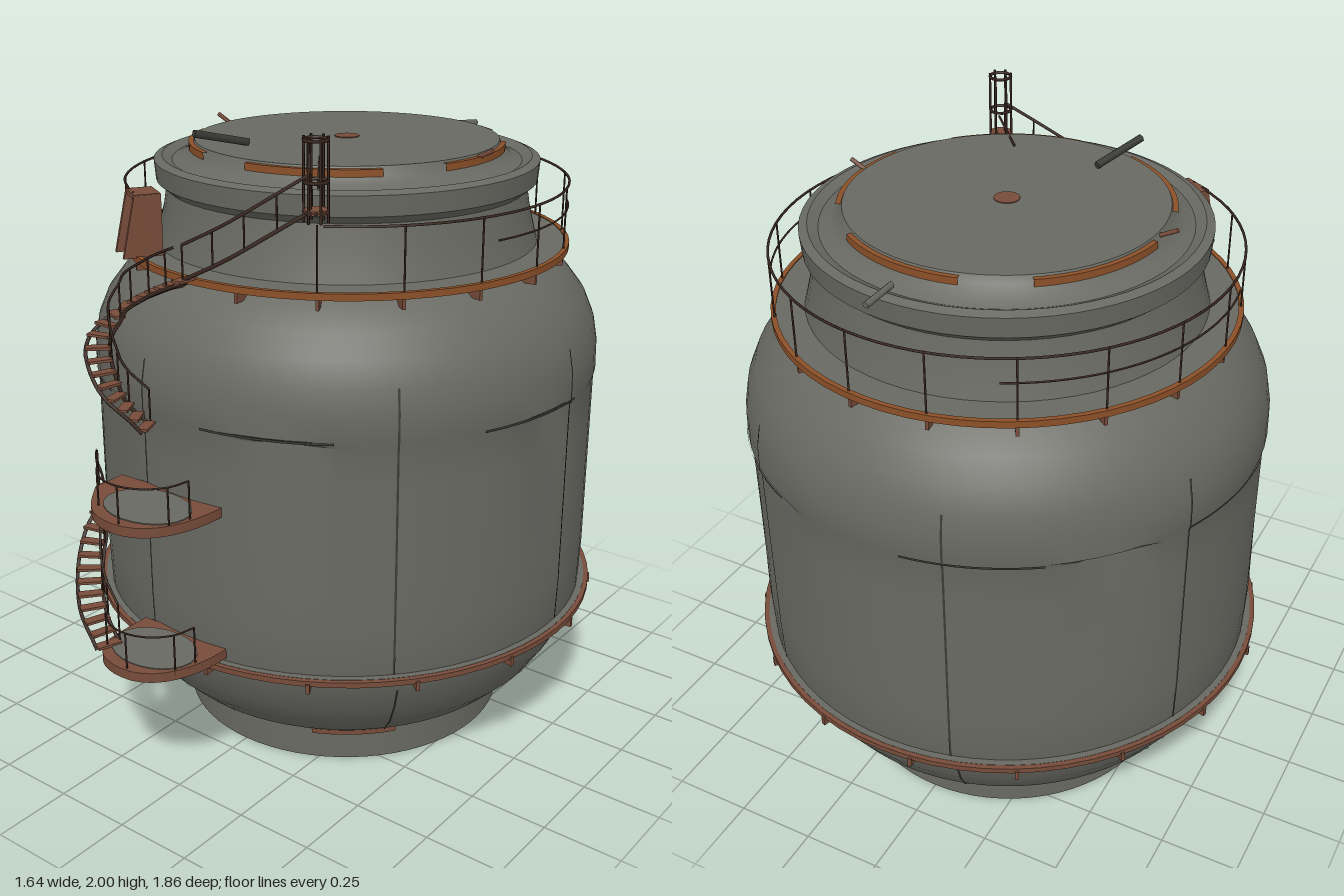
import * as THREE from 'three';
import { toCreasedNormals } from 'three/addons/utils/BufferGeometryUtils.js';

const mat = (name, color, side = THREE.FrontSide) => {
  const m = new THREE.MeshStandardMaterial({ color, side });
  m.name = name;
  return m;
};
const steel = mat('weathered steel', 0x686962);
const rust = mat('rust', 0x774c3a);
const brightRust = mat('bright rust', 0x8c5028);
const iron = mat('dark iron', 0x39271f);
const seamDark = mat('seam shadow', 0x3a3b36, THREE.DoubleSide);
const V = (x, y, z) => new THREE.Vector3(x, y, z);
const polar = (a, r, y) => V(Math.sin(a) * r, y, Math.cos(a) * r);

function add(parent, name, geo, material, pos) {
  const m = new THREE.Mesh(geo, material);
  m.name = name;
  if (pos) m.position.copy(pos);
  parent.add(m);
  return m;
}
function lathe(pts, segs = 64, start = 0, len = Math.PI * 2) {
  return new THREE.LatheGeometry(pts.map(p => new THREE.Vector2(p[0], p[1])), segs, start, len);
}
// Closed rectangular ring
const band = (r0, r1, y0, y1, start = 0, len = Math.PI * 2, segs = 64) =>
  toCreasedNormals(lathe([[r0, y0], [r1, y0], [r1, y1], [r0, y1], [r0, y0]], segs, start, len), 0.5);
// Round bar between two points
function bar(parent, name, a, b, r, material = iron) {
  const d = b.clone().sub(a);
  const m = add(parent, name, new THREE.CylinderGeometry(r, r, d.length(), 5), material,
    a.clone().add(b).multiplyScalar(0.5));
  m.quaternion.setFromUnitVectors(V(0, 1, 0), d.normalize());
  return m;
}
const tube = (pts, r, n = 40) => new THREE.TubeGeometry(new THREE.CatmullRomCurve3(pts), n, r, 5);

// Curved flight of steps with stringers and a handrail
function stair(parent, name, pts, steps, width, railSide, railHeight) {
  const g = new THREE.Group();
  g.name = name;
  const curve = new THREE.CatmullRomCurve3(pts);
  const sides = { '-1': [], '1': [] };
  const rail = [];
  for (let i = 0; i <= steps; i++) {
    const p = curve.getPointAt(i / steps), t = curve.getTangentAt(i / steps);
    const yaw = Math.atan2(t.x, t.z), across = V(Math.cos(yaw), 0, -Math.sin(yaw));
    const tread = add(g, 'tread', new THREE.BoxGeometry(width, 0.008, 0.032), rust, p);
    tread.rotation.y = yaw;
    for (const s of [-1, 1]) sides[s].push(p.clone().addScaledVector(across, s * width / 2).add(V(0, -0.01, 0)));
    const foot = p.clone().addScaledVector(across, railSide * width / 2), top = foot.clone().add(V(0, railHeight, 0));
    rail.push(top);
    if (i % 2 === 0) bar(g, 'railPost', foot, top, 0.003);
  }
  for (const s of [-1, 1]) add(g, 'stringer', tube(sides[s], 0.006), iron);
  add(g, 'handrail', tube(rail, 0.004), iron);
  parent.add(g);
}

// Rounded landing with a steel floor, rusty rim and railing
function landing(parent, y, x0) {
  const g = new THREE.Group();
  g.name = 'landing';
  const s = new THREE.Shape();
  s.moveTo(x0, -0.68);
  s.lineTo(0.14, -0.66);
  s.bezierCurveTo(0.15, -0.8, 0.1, -0.94, -0.03, -0.94);
  s.bezierCurveTo(-0.14, -0.94, -0.18, -0.88, x0, -0.79);
  s.closePath();
  const slab = add(g, 'landingSlab', new THREE.ExtrudeGeometry(s, { depth: 0.03, bevelEnabled: false, curveSegments: 10 }), rust, V(0, y - 0.015, 0));
  slab.rotation.x = -Math.PI / 2;
  const floor = add(g, 'landingFloor', new THREE.CylinderGeometry(0.13, 0.13, 0.004, 24), steel, V(-0.03, y + 0.016, 0.8));
  floor.scale.set(1.1, 1, 0.8);
  const rail = [];
  for (let i = 0; i <= 5; i++) {
    const a = -0.9 + i * 0.5, foot = V(-0.03 + Math.sin(a) * 0.15, y, 0.79 + Math.cos(a) * 0.14);
    rail.push(foot.clone().add(V(0, 0.13, 0)));
    if (i % 2 === 0 || i === 5) bar(g, 'railPost', foot, rail[i], 0.003);
  }
  add(g, 'landingRail', tube(rail, 0.003), iron);
  parent.add(g);
}

export function createModel() {
  const model = new THREE.Group();
  model.name = 'storageTank';
  const tank = new THREE.Group();
  tank.name = 'tank';
  tank.position.z = -0.1;
  model.add(tank);

  // Shell with dented wall panels
  const shell = lathe([[0, 0], [0.53, 0], [0.53, 0.1], [0.61, 0.155], [0.68, 0.225], [0.735, 0.31], [0.77, 0.39], [0.785, 0.45],
    [0.79, 0.6], [0.79, 0.75], [0.79, 0.9], [0.79, 1.05], [0.79, 1.17], [0.795, 1.19], [0.793, 1.27], [0.78, 1.34], [0.75, 1.41],
    [0.7, 1.475], [0.65, 1.525], [0.59, 1.56]], 72);
  const dents = [[-0.5, 0.22], [0.42, 0.2], [1.5, 0.14], [2.5, 0.3], [-1.15, 0.2], [-2.3, 0.2]];
  const p = shell.attributes.position;
  for (let i = 0; i < p.count; i++) {
    const y = p.getY(i), a = Math.atan2(p.getX(i), p.getZ(i));
    if (y < 0.7 || y > 1.18) continue;
    let k = 1;
    for (const [c, w] of dents) k -= 0.03 * Math.max(0, 1 - ((a - c) / w) ** 2) * (y - 0.6) / 0.57;
    p.setXYZ(i, p.getX(i) * k, y, p.getZ(i) * k);
  }
  add(tank, 'shell', toCreasedNormals(shell, 0.6), steel);

  // Neck, crown and lid
  add(tank, 'neck', toCreasedNormals(lathe([[0.6, 1.55], [0.585, 1.6], [0.565, 1.68], [0.555, 1.74], [0.585, 1.765],
    [0.59, 1.825], [0.565, 1.835], [0.535, 1.82], [0.5, 1.835], [0.475, 1.86], [0.465, 1.88], [0, 1.88]]), 0.5), steel);
  for (let i = 0; i < 5; i++) {
    add(tank, 'lidRustEdge', band(0.46, 0.483, 1.853, 1.874, i * 1.257, 0.85, 14), brightRust);
  }
  add(tank, 'lidCentreSpot', new THREE.CylinderGeometry(0.038, 0.038, 0.004, 20), rust, V(0, 1.881, 0));

  // Lower rim with brackets
  add(tank, 'lowerRim', band(0.77, 0.805, 0.437, 0.453), steel);
  add(tank, 'lowerRimEdge', band(0.803, 0.82, 0.435, 0.452), rust);
  for (let i = 0; i < 16; i++) {
    const a = (i + 0.3) / 16 * Math.PI * 2;
    const b = add(tank, 'rimBracket', new THREE.BoxGeometry(0.012, 0.03, 0.06), rust, polar(a, 0.795, 0.428));
    b.rotation.y = a;
  }

  // Upper walkway with brackets and railing
  add(tank, 'walkwayFloor', band(0.57, 0.675, 1.568, 1.577), steel);
  add(tank, 'walkwayUnderside', band(0.57, 0.68, 1.56, 1.567), rust);
  add(tank, 'walkwayEdge', band(0.675, 0.69, 1.56, 1.58), brightRust);
  for (let i = 0; i < 18; i++) {
    const a = (i + 0.5) / 18 * Math.PI * 2;
    const b = add(tank, 'walkwayBracket', new THREE.BoxGeometry(0.01, 0.035, 0.09), rust, polar(a, 0.635, 1.545));
    b.rotation.y = a;
    if (i > 0 && i < 17) bar(tank, 'walkwayPost', polar(a, 0.68, 1.57), polar(a, 0.68, 1.765), 0.003);
  }
  const arc = (y, a0, a1) => Array.from({ length: 25 }, (_, i) => polar(a0 + (a1 - a0) * i / 24, 0.68, y));
  add(tank, 'walkwayTopRail', tube(arc(1.762, 0.55, 5.7), 0.004, 64), iron);
  add(tank, 'walkwayMidRail', tube(arc(1.69, 1.3, 2.2), 0.003, 24), iron);
  add(tank, 'walkwayMidRail', tube(arc(1.69, 3.6, 4.9), 0.003, 24), iron);

  // Plate seams and rust streaks
  for (const a of [-0.19, 0.82, 1.62, 2.5, 3.4, 4.3, 5.45]) {
    add(tank, 'wallSeam', lathe([[0.788, 0.455], [0.792, 0.6], [0.792, 1.17], [0.797, 1.19], [0.795, 1.27], [0.782, 1.34]], 1, a, 0.008), seamDark);
    add(tank, 'bowlSeam', lathe([[0.613, 0.153], [0.683, 0.224], [0.738, 0.31], [0.773, 0.39]], 1, a + 0.02, 0.008), seamDark);
  }
  for (let i = 0; i < 6; i++) {
    add(tank, 'girthSeam', lathe([[0.797, 1.182], [0.798, 1.19]], 10, i * 1.05 + 0.1, 0.5), seamDark);
    add(tank, 'baseRust', band(0.525, 0.536, 0.088, 0.104, i * 1.05 + 0.45, 0.5, 8), rust);
  }

  // Doorway on the walkway
  const door = new THREE.Group();
  door.name = 'doorway';
  door.position.set(-0.345, 1.575, 0.47);
  door.rotation.y = -0.54;
  const side = new THREE.Shape([[-0.06, 0], [0.06, 0], [0.02, 0.185], [-0.06, 0.185]].map(q => new THREE.Vector2(...q)));
  for (const x of [-0.05, 0.04]) {
    const jamb = add(door, 'doorJamb', new THREE.ExtrudeGeometry(side, { depth: 0.014, bevelEnabled: false }), rust, V(x, 0, 0));
    jamb.rotation.y = -Math.PI / 2;
    jamb.position.x += 0.014;
  }
  add(door, 'doorLintel', new THREE.BoxGeometry(0.104, 0.014, 0.08), rust, V(0, 0.18, -0.02));
  add(door, 'doorLeaf', new THREE.BoxGeometry(0.08, 0.17, 0.01), iron, V(0, 0.085, 0));
  add(door, 'doorPanel', new THREE.BoxGeometry(0.045, 0.1, 0.004), steel, V(0, 0.1, 0.006));
  model.add(door);

  // Landings and stair flights
  landing(model, 0.48, -0.18);
  landing(model, 0.94, -0.25);
  stair(model, 'lowerStair', [V(-0.15, 0.5, 0.87), V(-0.24, 0.58, 0.84), V(-0.325, 0.68, 0.76), V(-0.35, 0.79, 0.69),
    V(-0.32, 0.88, 0.67), V(-0.24, 0.94, 0.73)], 15, 0.075, -1, 0.12);
  stair(model, 'middleStair', [V(-0.08, 1.17, 0.74), V(-0.17, 1.27, 0.78), V(-0.26, 1.39, 0.735), V(-0.25, 1.46, 0.65),
    V(-0.16, 1.52, 0.615), V(-0.03, 1.58, 0.615)], 17, 0.07, -1, 0.1);

  // Upper ramp rail to the roof
  const ramp = new THREE.CatmullRomCurve3([V(-0.03, 1.58, 0.62), V(0.1, 1.65, 0.59), V(0.22, 1.73, 0.54), V(0.32, 1.8, 0.49)]);
  const rail = [];
  for (let i = 0; i <= 8; i++) {
    const q = ramp.getPointAt(i / 8);
    rail.push(q.clone().add(V(0, 0.1, 0)));
    if (i % 2 === 0) bar(model, 'rampPost', q, rail[i], 0.003);
  }
  add(model, 'rampStringer', new THREE.TubeGeometry(ramp, 20, 0.006, 5), iron);
  add(model, 'rampRail', tube(rail, 0.005), iron);

  // Ladder cage at the top of the ramp
  const cage = new THREE.Group();
  cage.name = 'ladderCage';
  cage.position.set(0.33, 0, 0.48);
  for (let i = 0; i < 6; i++) {
    const a = i * Math.PI / 3;
    bar(cage, 'cageBar', polar(a, 0.033, 1.77), polar(a, 0.033, 2), 0.004);
  }
  for (const y of [1.8, 1.88, 1.99]) {
    const hoop = add(cage, 'cageHoop', new THREE.TorusGeometry(0.033, 0.005, 5, 14), iron, V(0, y, 0));
    hoop.rotation.x = Math.PI / 2;
  }
  add(cage, 'cageFloor', new THREE.CylinderGeometry(0.036, 0.036, 0.012, 14), rust, V(0, 1.8, 0));
  model.add(cage);

  // Loose struts on the roof
  bar(model, 'roofStrut', V(-0.21, 1.93, 0.36), V(-0.14, 1.89, 0.2), 0.012, seamDark);
  bar(model, 'roofStrut', V(0.15, 1.885, 0.23), V(0.33, 1.86, 0.47), 0.004);
  for (const s of [-1, 1]) bar(model, 'crownSpike', V(s * 0.43, 1.85, -0.1), V(s * 0.52, 1.895, -0.1), 0.007, rust);
  bar(model, 'crownSpike', V(0.05, 1.85, -0.64), V(0.06, 1.84, -0.75), 0.01, steel);

  return model;
}
